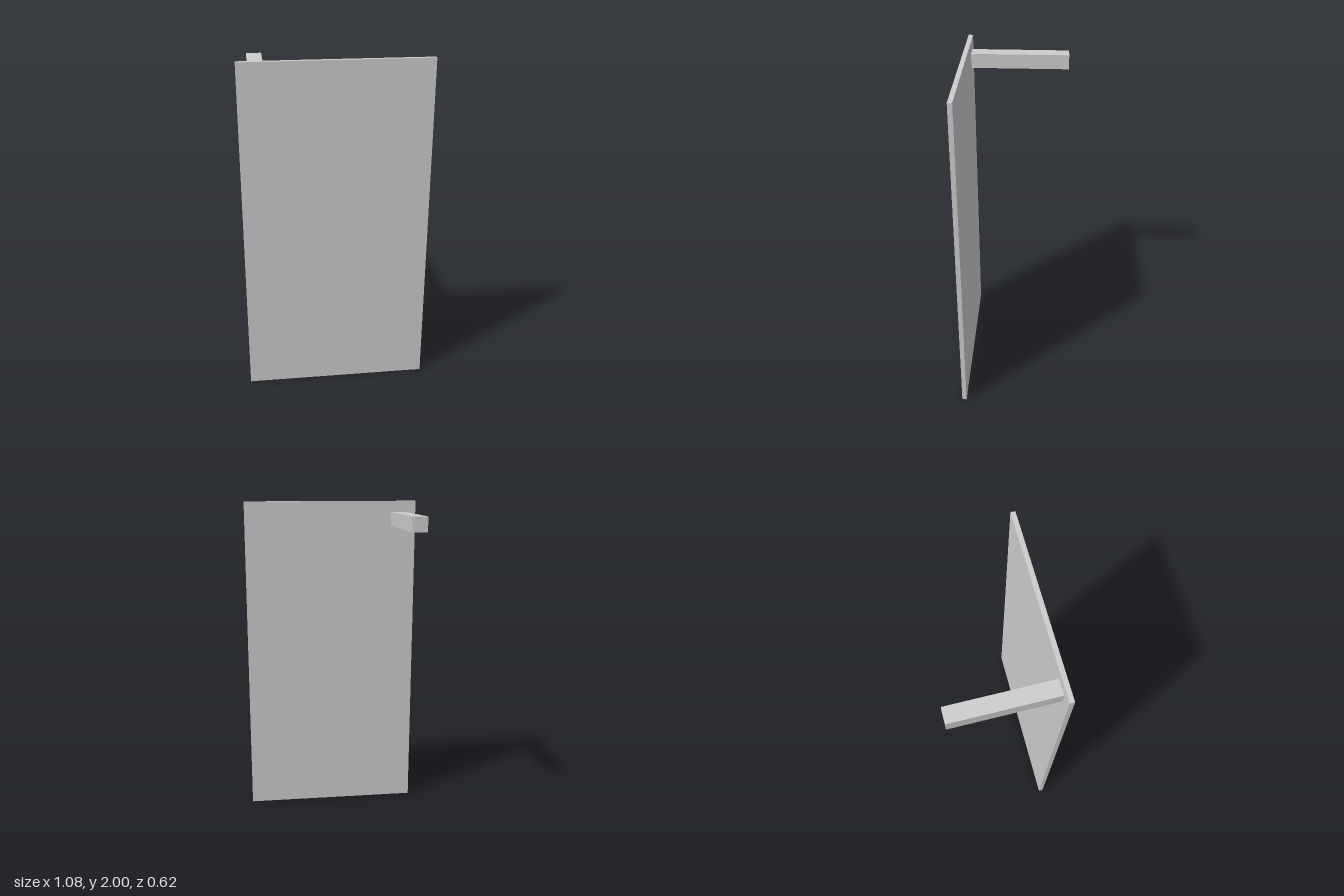
import * as THREE from 'three';

// Box spanning two opposite corners
function boxBetween(name, min, max, material) {
  const size = max.map((v, i) => v - min[i]);
  const mesh = new THREE.Mesh(new THREE.BoxGeometry(...size), material);
  mesh.position.set(...max.map((v, i) => (v + min[i]) / 2));
  mesh.name = name;
  return mesh;
}

export function createModel() {
  const group = new THREE.Group();
  const grey = new THREE.MeshStandardMaterial({ color: 0xcccccc });

  // Thin upright panel at the front
  group.add(boxBetween('panel', [-0.54, 0, 0.281], [0.54, 2, 0.308], grey));

  // Square arm reaching back from the upper right corner
  group.add(boxBetween('supportArm', [-0.475, 1.845, -0.308], [-0.385, 1.932, 0.281], grey));

  return group;
}
